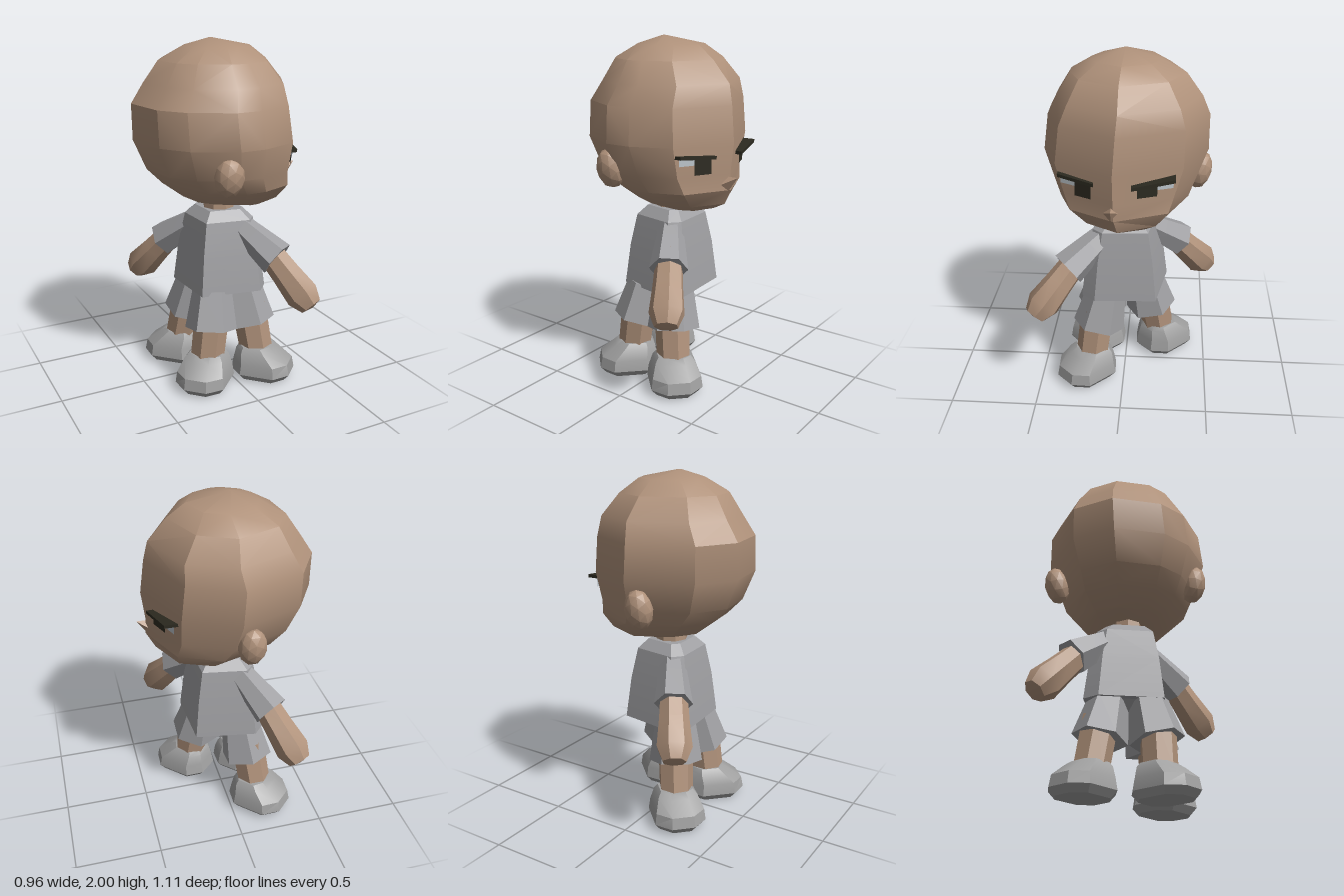
import * as THREE from 'three';
import { toCreasedNormals } from 'three/addons/utils/BufferGeometryUtils.js';

const mat = (name, color, extra = {}) => {
  const m = new THREE.MeshStandardMaterial({ color, ...extra });
  m.name = name;
  return m;
};

// Closed skin through rings of [x, y, z] points, listed from bottom to top
function loft(rings, crease = 0.35) {
  const n = rings[0].length, pos = rings.flat(2), idx = [];
  const centre = (ring) => {
    for (let k = 0; k < 3; k++) pos.push(ring.reduce((s, p) => s + p[k], 0) / n);
    return pos.length / 3 - 1;
  };
  const bottom = centre(rings[0]), top = centre(rings.at(-1)), last = (rings.length - 1) * n;
  for (let j = 0; j < n; j++) {
    const k = (j + 1) % n;
    for (let i = 0; i < rings.length - 1; i++) {
      const a = i * n + j, b = i * n + k, c = b + n, d = a + n;
      if ((i + j) % 2) idx.push(a, d, b, b, d, c);
      else idx.push(a, d, c, a, c, b);
    }
    idx.push(bottom, j, k, top, last + k, last + j);
  }
  const g = new THREE.BufferGeometry();
  g.setAttribute('position', new THREE.Float32BufferAttribute(pos, 3));
  g.setIndex(idx);
  return toCreasedNormals(g, crease);
}

// Faceted round limb from one point to another; profile is [radius, 0..1 along]
function limb(from, to, profile, sides = 7, crease = 0.5) {
  const a = new THREE.Vector3(...from), dir = new THREE.Vector3(...to).sub(a), len = dir.length();
  const g = new THREE.LatheGeometry(profile.map(([r, t]) => new THREE.Vector2(r, t * len)), sides);
  g.applyQuaternion(new THREE.Quaternion().setFromUnitVectors(new THREE.Vector3(0, 1, 0), dir.normalize()));
  g.translate(a.x, a.y, a.z);
  return toCreasedNormals(g, crease);
}

export function createModel() {
  const skin = mat('skin', 0xb0927b);
  const cloth = mat('grey cloth', 0xa0a0a3);
  const shoe = mat('grey shoe', 0xa1a1a1);
  const dark = mat('dark brown', 0x2c2a20, { side: THREE.DoubleSide });
  const white = mat('eye white', 0xbcc4ca, { side: THREE.DoubleSide });

  const model = new THREE.Group();
  model.name = 'figure';
  const add = (name, geometry, material) => {
    const m = new THREE.Mesh(geometry, material);
    m.name = name;
    model.add(m);
    return m;
  };

  // Head: one faceted outline fitted to the extents of each level
  const outline = [[0.44, 0.04], [0.27, 0.36], [0.05, 0.45], [-0.1, 0.455], [-0.33, 0.33],
    [-0.44, 0.18], [-0.48, -0.11], [-0.35, -0.335], [0, -0.47], [0.29, -0.33]];
  const levels = [ // y, xMin, xMax, zMin, zMax
    [1.06, 0, 0.3, -0.17, 0.16], [1.1, -0.2, 0.38, -0.26, 0.25], [1.19, -0.32, 0.43, -0.36, 0.36],
    [1.28, -0.41, 0.425, -0.4, 0.4], [1.45, -0.48, 0.445, -0.465, 0.455], [1.65, -0.48, 0.42, -0.465, 0.43],
    [1.76, -0.41, 0.395, -0.42, 0.375], [1.88, -0.33, 0.29, -0.33, 0.3], [1.955, -0.2, 0.19, -0.2, 0.18],
    [2, -0.06, -0.04, -0.01, 0.01]];
  add('head', loft(levels.map(([y, x0, x1, z0, z1]) => outline.map(([x, z]) => [
    x0 + (x1 - x0) * (x + 0.48) / 0.92, y, z0 + (z1 - z0) * (z + 0.47) / 0.925])), 0.5), skin);

  // Ears
  for (const [name, x, z, size, tilt] of [['leftEar', -0.13, 0.385, 0.085, 0.2], ['rightEar', -0.06, -0.42, 0.08, -0.2]]) {
    const ear = add(name, toCreasedNormals(new THREE.IcosahedronGeometry(1, 1), 0.5), skin);
    ear.scale.set(size, 0.115, 0.072);
    ear.position.set(x, 1.3, z);
    ear.rotation.x = tilt;
  }

  // Nose
  add('nose', limb([0.4, 1.225, 0.05], [0.478, 1.265, 0.05], [[0, 0], [0.045, 0.01], [0, 1]], 4), skin);

  // Eyes and brows lie just outside the sloping face, x = a + b * z
  const eyes = [
    { side: 'left', a: 0.465, b: -0.53, pupil: [0.16, 0.25, 1.295], white: [0.25, 0.33],
      brow: [[0.145, 1.375, 0.015], [0.345, 1.39, 0.03]] },
    { side: 'right', a: 0.434, b: 0.394, pupil: [-0.085, -0.19, 1.315], white: [-0.19, -0.275],
      brow: [[-0.055, 1.37, 0.022], [-0.285, 1.4, 0.058]] }];
  for (const { side, a, b, pupil, white: w, brow } of eyes) {
    const patch = (z0, z1, y0, y1) => {
      const p = new THREE.PlaneGeometry(1, 1);
      const v = p.attributes.position;
      for (let i = 0; i < 4; i++) {
        const z = v.getX(i) < 0 ? z0 : z1;
        v.setXYZ(i, a + b * z, v.getY(i) < 0 ? y0 : y1, z);
      }
      p.computeVertexNormals();
      return p;
    };
    add(side + 'Pupil', patch(pupil[0], pupil[1], pupil[2], 1.39), dark);
    add(side + 'EyeWhite', patch(w[0], w[1], 1.35, 1.395), white);
    const [p, q] = brow;
    const level = (h) => {
      const r = [p, q].map(([z, y, out]) => [[a + b * z + out, y + h, z], [a + b * z - 0.03, y + h, z]]);
      const ring = [r[0][0], r[1][0], r[1][1], r[0][1]];
      return side === 'left' ? ring : ring.reverse();
    };
    add(side + 'Brow', loft([level(0), level(0.018)]), dark);
  }

  // Neck and boxy shirt
  add('neck', limb([0, 0.98, 0], [0, 1.12, 0], [[0.095, 0], [0.09, 1]], 8), skin);
  const hem = [[0.2, -0.19], [0.22, 0.17], [0.15, 0.25], [-0.2, 0.19], [-0.22, -0.17], [-0.15, -0.25]];
  const hemRing = (y, s) => hem.map(([x, z]) => [x * s, y, z * s]);
  add('shirt', loft([[0.56, 1], [0.8, 0.88], [0.98, 0.73], [1.035, 0.5]].map(([y, s]) => hemRing(y, s))), cloth);

  // Arms and sleeves reach out of two opposite corners
  for (const [side, s] of [['left', 1], ['right', -1]]) {
    add(side + 'Sleeve', limb([s * 0.06, 0.96, s * 0.085], [s * 0.215, 0.77, s * 0.32],
      [[0, 0], [0.065, 0], [0.085, 0.45], [0.108, 1], [0, 0.98]], 6, 0.3), cloth);
    add(side + 'Arm', limb([s * 0.17, 0.84, s * 0.25], [s * 0.34, 0.52, s * 0.51],
      [[0, 0], [0.075, 0], [0.086, 0.45], [0.1, 0.8], [0.066, 0.98], [0, 1.01]]), skin);
  }

  // Three legs, each with a shorts leg and a rounded shoe pointing outward
  const sole = [[1, 0.45], [0.57, 1], [-0.57, 1], [-1, 0.45], [-1, -0.45], [-0.57, -1], [0.57, -1], [1, -0.45]];
  const footLevels = [[0.005, 0.145, 0.118, 0], [0.045, 0.178, 0.148, 0], [0.11, 0.166, 0.14, 0],
    [0.175, 0.118, 0.115, -0.035], [0.2, 0.09, 0.095, -0.045]]; // y, half length, half width, shift
  const legs = [['left', 1, 1, 0.187, 0.225], ['rear', -1, 1, -0.185, 0.19], ['right', -1, -1, -0.187, -0.24]];
  for (const [name, sx, sz, footX, footZ] of legs) {
    add(name + 'ShortsLeg', limb([sx * 0.125, 0.34, sz * 0.155], [sx * 0.095, 0.56, sz * 0.11],
      [[0, 0.03], [0.155, 0], [0.118, 1], [0, 1]], 6, 0.3), cloth);
    add(name + 'Leg', limb([footX * 0.85, 0.16, footZ * 0.85], [sx * 0.12, 0.45, sz * 0.155],
      [[0.1, 0], [0.104, 1]]), skin);
    const foot = add(name + 'Shoe', loft(footLevels.map(([y, l, w, shift]) =>
      sole.map(([u, v]) => [shift + l * u, y, w * v])), 0.6), shoe);
    foot.position.set(footX, 0, footZ);
    foot.rotation.y = Math.atan2(-sz, sx);
  }
  // Seat joining the shorts legs
  add('shortsSeat', loft([hemRing(0.5, 0.5), hemRing(0.57, 0.85)]), cloth);

  return model;
}
